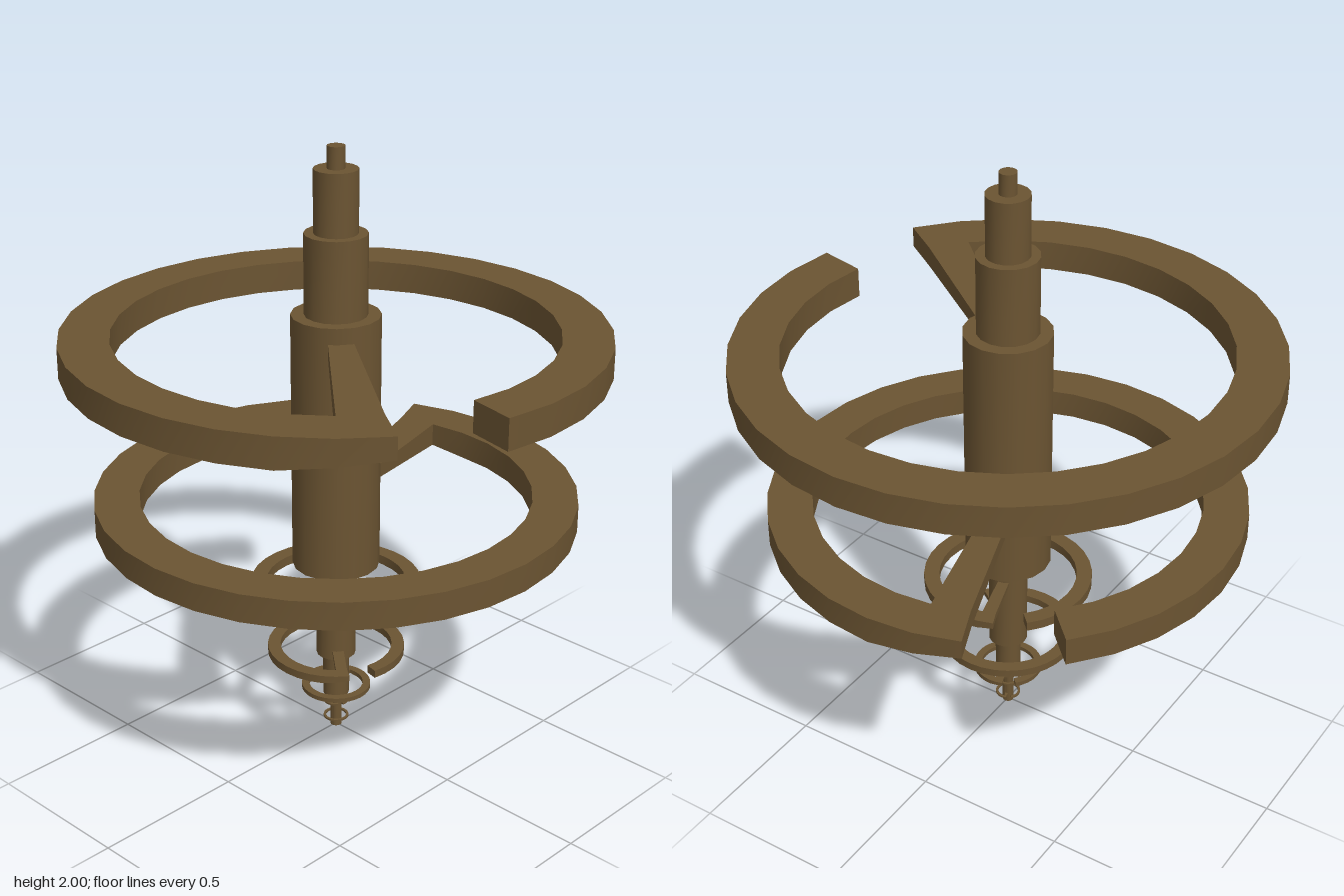
import * as THREE from 'three';
import { toCreasedNormals } from 'three/addons/utils/BufferGeometryUtils.js';

const bronze = new THREE.MeshStandardMaterial({ color: 0x6b5432 });
bronze.name = 'dark bronze';

const STEP = Math.PI / 16; // 32 steps per turn, rings cover 30 of them
const SEGMENTS = 30;
const rad = THREE.MathUtils.degToRad;

function addMesh(group, name, geometry) {
  const mesh = new THREE.Mesh(toCreasedNormals(geometry, 0.55), bronze);
  mesh.name = name;
  group.add(mesh);
}

// Split ring whose thin first end runs into a tapered spoke reaching the shaft
function splitRing({ inner, outer, bottom, top, start, hub }) {
  const positions = [];
  const quad = (...corners) => {
    for (const i of [0, 1, 2, 0, 2, 3]) positions.push(...corners[i]);
  };
  const point = (r, a, y) => [r * Math.cos(a), y, r * Math.sin(a)];

  // Corners are [radius, angle, thickness]; sides names the edges to close
  const block = (corners, sides) => {
    const t = corners.map(([r, a]) => point(r, a, top));
    const b = corners.map(([r, a, h]) => point(r, a, top - h));
    quad(...t);
    quad(b[3], b[2], b[1], b[0]);
    for (const i of sides) {
      const j = (i + 1) % 4;
      quad(b[i], b[j], t[j], t[i]);
    }
  };

  const height = top - bottom;
  const thickness = (i) => height * Math.min(1, 0.7 + 0.15 * i);
  const a0 = rad(start);

  // Ring body
  for (let i = 0; i < SEGMENTS; i++) {
    const a = a0 + i * STEP, b = a + STEP;
    const h = thickness(i), k = thickness(i + 1);
    const sides = [2];
    if (i > 0) sides.push(0);
    if (i === 0) sides.push(3);
    if (i === SEGMENTS - 1) sides.push(1);
    block([[inner, a, h], [inner, b, k], [outer, b, k], [outer, a, h]], sides);
  }

  // Spoke from the first ring segment to the shaft
  const mid = a0 + STEP / 2 - 0.02, spread = 0.3, r = hub * 0.95;
  block([
    [r, mid - spread, height * 0.44],
    [r, mid + spread, height * 0.44],
    [inner, a0 + STEP, thickness(1)],
    [inner, a0, thickness(0)],
  ], [1, 3]);

  const geometry = new THREE.BufferGeometry();
  geometry.setAttribute('position', new THREE.Float32BufferAttribute(positions, 3));
  return geometry;
}

export function createModel() {
  const model = new THREE.Group();
  model.name = 'spindle';

  // Stepped shaft: radius, bottom, top
  const shaft = [
    [0.019, 0, 0.125], [0.043, 0.125, 0.28], [0.065, 0.28, 0.615],
    [0.142, 0.615, 1.47], [0.1, 1.47, 1.73], [0.07, 1.73, 1.93], [0.028, 1.93, 2],
  ];
  shaft.forEach(([radius, y0, y1], i) => {
    const geometry = new THREE.CylinderGeometry(radius, radius, y1 - y0, 16);
    geometry.translate(0, (y0 + y1) / 2, 0);
    addMesh(model, `shaftSection${i + 1}`, geometry);
  });

  // Split rings, from the top down, with their gaps alternating
  const rings = [
    { inner: 0.7, outer: 0.86, bottom: 1.317, top: 1.418, hub: 0.142 },
    { inner: 0.63, outer: 0.775, bottom: 0.785, top: 0.876, hub: 0.142 },
    { inner: 0.228, outer: 0.279, bottom: 0.518, top: 0.55, hub: 0.065 },
    { inner: 0.185, outer: 0.227, bottom: 0.286, top: 0.312, hub: 0.065 },
    { inner: 0.09, outer: 0.115, bottom: 0.147, top: 0.162, hub: 0.043 },
    { inner: 0.034, outer: 0.042, bottom: 0.091, top: 0.097, hub: 0.019 },
    { inner: 0.034, outer: 0.042, bottom: 0.03, top: 0.036, hub: 0.019 },
  ];
  rings.forEach((ring, i) => {
    const start = [0, 3, 5].includes(i) ? 124.8 : -23;
    addMesh(model, `splitRing${i + 1}`, splitRing({ ...ring, start }));
  });

  return model;
}
